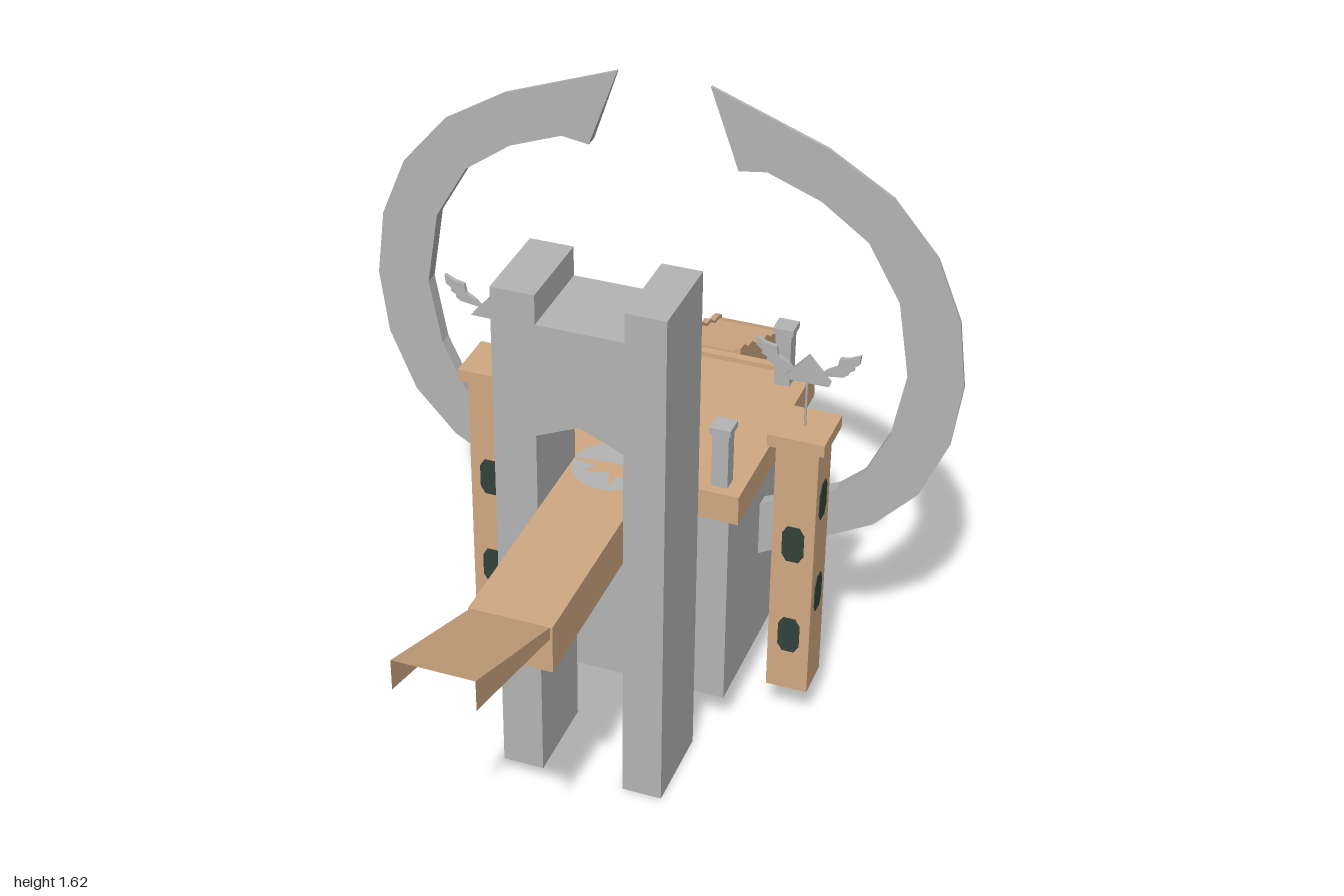
import * as THREE from 'three';

const stone = new THREE.MeshStandardMaterial({ color: 0xb4b4b4 });
stone.name = 'stone';
const tan = new THREE.MeshStandardMaterial({ color: 0xd0a882 });
tan.name = 'tan';
const tanOpen = new THREE.MeshStandardMaterial({ color: 0xd0a882, side: THREE.DoubleSide });
tanOpen.name = 'tan open';
const glass = new THREE.MeshStandardMaterial({ color: 0x33423b });
glass.name = 'dark window';

function add(parent, name, geometry, material) {
  const mesh = new THREE.Mesh(geometry, material);
  mesh.name = name;
  parent.add(mesh);
  return mesh;
}

// Box given by its limits on each axis
function box(parent, name, material, x0, x1, y0, y1, z0, z1) {
  const mesh = add(parent, name, new THREE.BoxGeometry(x1 - x0, y1 - y0, z1 - z0), material);
  mesh.position.set((x0 + x1) / 2, (y0 + y1) / 2, (z0 + z1) / 2);
  return mesh;
}

const polygon = (points) => new THREE.Shape(points.map(([x, y]) => new THREE.Vector2(x, y)));
const extrude = (shape, depth) => new THREE.ExtrudeGeometry(shape, { depth, bevelEnabled: false });

// Profile of [z, y] points, extruded along x from x0 to x1
function sideProfile(parent, name, material, points, x0, x1) {
  const geometry = extrude(polygon(points.map(([z, y]) => [-z, y])), x1 - x0);
  geometry.rotateY(Math.PI / 2).translate(x0, 0, 0);
  return add(parent, name, geometry, material);
}

// Surface from quads with flat faces
function quads(list) {
  const positions = [];
  for (const [a, b, c, d] of list) positions.push(...a, ...b, ...c, ...a, ...c, ...d);
  const geometry = new THREE.BufferGeometry();
  geometry.setAttribute('position', new THREE.Float32BufferAttribute(positions, 3));
  geometry.computeVertexNormals();
  return geometry;
}

// Broken ring half: thin outer edge, thicker inner edge
function ringHalf(side) {
  const outer = [[0.11, 1.62], [0.385, 1.518], [0.54, 1.424], [0.65, 1.295], [0.712, 1.144], [0.733, 0.976],
    [0.712, 0.813], [0.647, 0.658], [0.544, 0.546], [0.437, 0.486], [0.26, 0.385]];
  const inner = [[0.18, 1.424], [0.247, 1.434], [0.376, 1.385], [0.49, 1.303], [0.57, 1.164], [0.6, 0.976],
    [0.57, 0.81], [0.51, 0.68], [0.45, 0.625], [0.36, 0.58], [0.26, 0.533]];
  const sections = outer.map(([ox, oy], i) => {
    const [ix, iy] = inner[i];
    return [[ox, oy, -0.3], [ix, iy, -0.3], [ix, iy, -0.335], [ox, oy, -0.308]]
      .map(([x, y, z]) => [x * side, y, z]);
  });
  const faces = [[...sections[0]].reverse(), sections[sections.length - 1]];
  for (let i = 0; i < sections.length - 1; i++) {
    for (let k = 0; k < 4; k++) {
      const n = (k + 1) % 4;
      faces.push([sections[i][k], sections[i][n], sections[i + 1][n], sections[i + 1][k]]);
    }
  }
  return quads(side > 0 ? faces : faces.map((f) => [...f].reverse()));
}

// Slim tower with windows, cap and winged finial
function tower() {
  const group = new THREE.Group();
  box(group, 'towerShaft', tan, -0.052, 0.052, 0.11, 0.82, -0.052, 0.052);
  box(group, 'towerCap', tan, -0.069, 0.069, 0.82, 0.852, -0.069, 0.069);

  const pane = extrude(polygon([[-0.027, -0.03], [-0.015, -0.05], [0.015, -0.05], [0.027, -0.03],
    [0.027, 0.03], [0.015, 0.05], [-0.015, 0.05], [-0.027, 0.03]]), 0.003);
  for (let i = 0; i < 4; i++) {
    const base = i % 2 ? 0.385 : 0.275;
    const angle = (i * Math.PI) / 2;
    for (const y of [base, base + 0.27]) {
      const win = add(group, 'towerWindow', pane, glass);
      win.rotation.y = angle;
      win.position.set(Math.sin(angle) * 0.051, y, Math.cos(angle) * 0.051);
    }
  }

  const pole = add(group, 'finialPole', new THREE.CylinderGeometry(0.003, 0.003, 0.13, 6), stone);
  pole.position.y = 0.915;
  add(group, 'finialBody', extrude(polygon([[-0.055, 0.975], [0.055, 0.975], [0, 1.038]]), 0.026)
    .translate(0, 0, -0.013), stone);
  const wing = [[0.03, 0.995], [0.062, 1.0], [0.085, 1.003], [0.097, 1.012], [0.095, 1.018], [0.11, 1.026],
    [0.108, 1.033], [0.122, 1.045], [0.124, 1.067], [0.1, 1.055], [0.075, 1.05], [0.07, 1.027], [0.045, 1.012]];
  for (const side of [-1, 1]) {
    add(group, 'finialWing', extrude(polygon(wing.map(([x, y]) => [x * side, y])), 0.01)
      .translate(0, 0, -0.005), stone);
  }
  return group;
}

export function createModel() {
  const model = new THREE.Group();

  // Gatehouse with pointed opening and notched top
  add(model, 'gatehouse', extrude(polygon([[-0.204, 0], [-0.102, 0], [-0.102, 0.97], [0, 1.015], [0.104, 0.97],
    [0.104, 0], [0.202, 0], [0.202, 1.33], [0.106, 1.33], [0.106, 1.257], [-0.1, 1.257], [-0.1, 1.33],
    [-0.204, 1.33]]), 0.226).translate(0, 0, -0.006), stone);

  // Bridge and raised drawbridge, open underneath
  box(model, 'bridge', tan, -0.097, 0.097, 0.66, 0.78, 0, 0.62);
  const w = 0.092;
  const ramp = [[-w, 0.78, 0.62], [-w, 0.925, 1], [w, 0.925, 1], [w, 0.78, 0.62]];
  const wall = (x) => [[x, 0.75, 0.62], [x, 0.85, 1], [x, 0.925, 1], [x, 0.78, 0.62]];
  add(model, 'drawbridge', quads([ramp, wall(-w), wall(w).reverse()]), tanOpen);

  // Round landing behind the gate
  for (const [r, y0, y1] of [[0.08, 0.72, 0.755], [0.097, 0.755, 0.78]]) {
    const step = add(model, 'roundLanding', new THREE.CylinderGeometry(r, r, y1 - y0, 24), stone);
    step.position.set(0, (y0 + y1) / 2, 0.012);
  }

  // Keep and terrace with a low rim
  box(model, 'keep', stone, -0.26, 0.26, 0.112, 0.66, -0.575, -0.06);
  box(model, 'terraceFloor', tan, -0.275, 0.275, 0.66, 0.724, -0.61, -0.045);
  const rim = polygon([[-0.292, 0.03], [0.292, 0.03], [0.292, 0.62], [-0.292, 0.62]]);
  rim.holes.push(polygon([[-0.27, 0.052], [-0.27, 0.598], [0.27, 0.598], [0.27, 0.052]]));
  add(model, 'terraceRim', extrude(rim, 0.077).rotateX(-Math.PI / 2).translate(0, 0.66, 0), tan);

  // Corner posts
  for (const x of [-0.23, 0.23]) {
    for (const z of [-0.56, -0.093]) {
      box(model, 'post', stone, x - 0.02, x + 0.02, 0.72, 0.87, z - 0.02, z + 0.02);
      box(model, 'postCap', stone, x - 0.026, x + 0.026, 0.87, 0.887, z - 0.026, z + 0.026);
    }
  }

  // Back stairs on a sloping stone base
  sideProfile(model, 'stairBase', stone,
    [[-0.57, 0.23], [-0.57, 0.66], [-0.62, 0.66], [-1, 0.56], [-1, 0.23]], -0.096, 0.096);
  const stairs = (lift) => {
    const points = [[-1, 0.56], [-0.62, 0.66]];
    for (let i = 0; i < 6; i++) {
      const z = -0.62 - i * 0.0633, y = 0.742 - i * 0.027 + lift;
      points.push([z, y], [z - 0.033, y - 0.004]);
    }
    points.push([-1, 0.592 + lift]);
    return points;
  };
  sideProfile(model, 'stairs', tan, stairs(0), -0.08, 0.08);
  for (const x of [-0.096, 0.08]) sideProfile(model, 'stairRail', tan, stairs(0.01), x, x + 0.016);

  // Mirrored towers and ring halves
  for (const side of [-1, 1]) {
    const t = tower();
    t.name = side > 0 ? 'leftTower' : 'rightTower';
    t.position.set(side * 0.388 + 0.002, 0, -0.207);
    model.add(t);
    add(model, side > 0 ? 'leftRingHalf' : 'rightRingHalf', ringHalf(side), stone);
  }
  return model;
}
